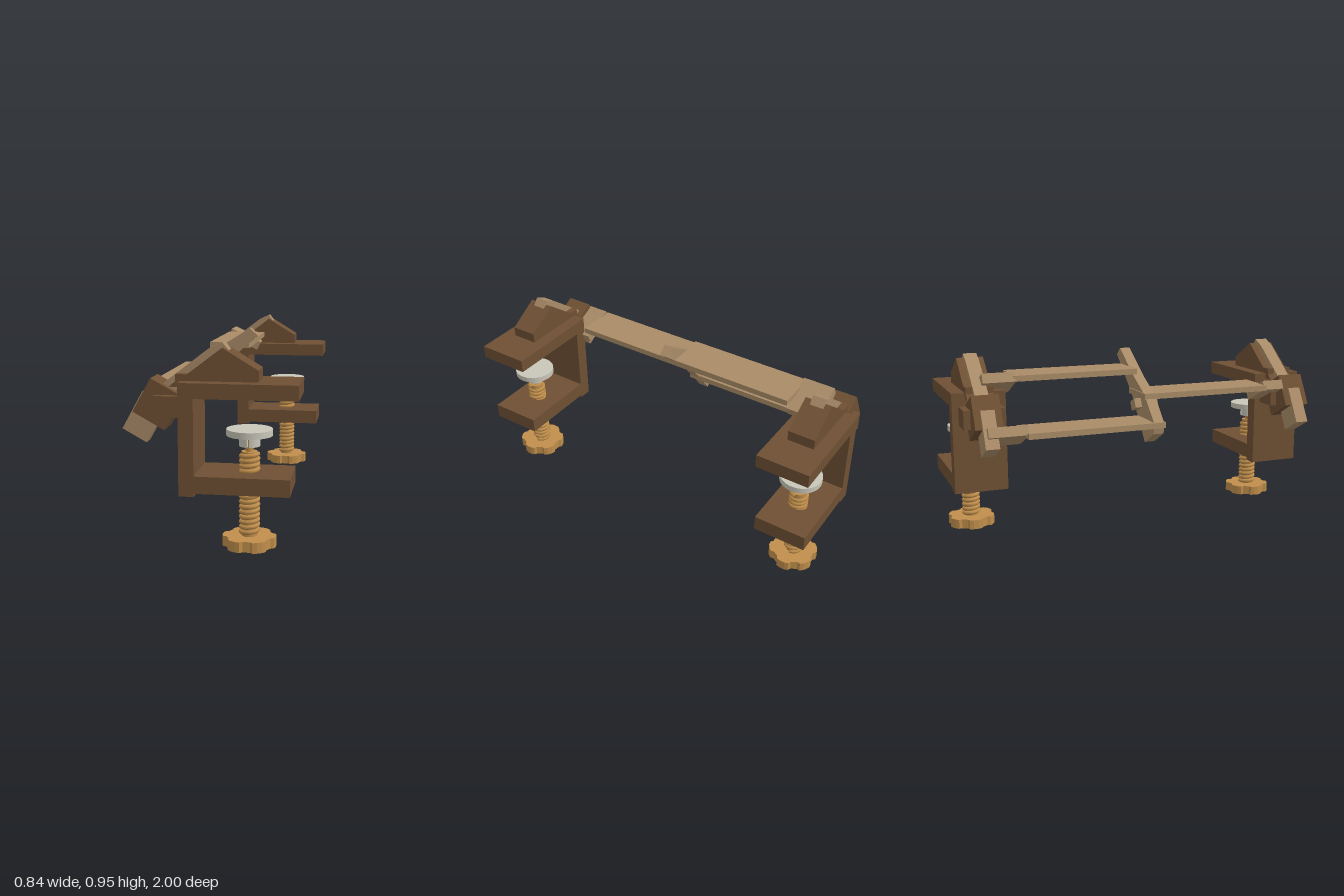
import * as THREE from 'three';

const mat = (name, color) => Object.assign(new THREE.MeshStandardMaterial({ color }), { name });

export function createModel() {
  const darkWood = mat('darkWood', 0x6f5034);
  const paleWood = mat('paleWood', 0xaa8c68);
  const brass = mat('brass', 0xc08e4b);
  const steel = mat('steel', 0xc9c7b9);
  const model = new THREE.Group();
  model.name = 'clampedPlanks';

  const add = (parent, name, geometry, material) => {
    const mesh = new THREE.Mesh(geometry, material);
    mesh.name = name;
    parent.add(mesh);
    return mesh;
  };

  // Side profile in x and y, extruded from z0 to z1
  const slab = (parent, name, points, z0, z1, material) => {
    const shape = new THREE.Shape(points.map(([x, y]) => new THREE.Vector2(x, y)));
    const geo = new THREE.ExtrudeGeometry(shape, { depth: z1 - z0, bevelEnabled: false });
    return add(parent, name, geo.translate(0, 0, z0), material);
  };

  // Box placed by its centre, turned about z
  const block = (parent, name, size, pos, angle, material) => {
    const mesh = add(parent, name, new THREE.BoxGeometry(...size), material);
    mesh.position.set(...pos);
    mesh.rotation.z = THREE.MathUtils.degToRad(angle);
    return mesh;
  };

  // Screw with lobed knob, helical thread and swivel pad
  function makeScrew() {
    const screw = new THREE.Group();
    screw.name = 'screw';

    const knob = new THREE.Shape();
    for (let k = 0; k < 6; k++) {
      for (const [deg, r] of [[-21, 0.11], [-16, 0.123], [-6, 0.126], [6, 0.126], [16, 0.123], [21, 0.11]]) {
        const a = THREE.MathUtils.degToRad(k * 60 + deg);
        const x = r * Math.cos(a), y = r * Math.sin(a);
        if (k === 0 && deg === -21) knob.moveTo(x, y);
        else knob.lineTo(x, y);
      }
    }
    const knobGeo = new THREE.ExtrudeGeometry(knob, { depth: 0.05, bevelEnabled: false });
    add(screw, 'knob', knobGeo.rotateX(-Math.PI / 2), brass);

    const core = new THREE.CylinderGeometry(0.037, 0.037, 0.4, 24);
    add(screw, 'shaft', core.translate(0, 0.25, 0), brass);
    const tip = new THREE.CylinderGeometry(0.018, 0.018, 0.06, 20);
    add(screw, 'shaftTip', tip.translate(0, 0.475, 0), brass);

    const turns = 16;
    const helix = [];
    for (let i = 0; i <= turns * 16; i++) {
      const a = i / 16 * Math.PI * 2;
      helix.push(new THREE.Vector3(0.04 * Math.cos(a), 0.055 + 0.385 * i / (turns * 16), -0.04 * Math.sin(a)));
    }
    const thread = new THREE.TubeGeometry(new THREE.CatmullRomCurve3(helix), turns * 24, 0.0105, 6);
    add(screw, 'thread', thread, brass);

    const pad = new THREE.CylinderGeometry(0.107, 0.107, 0.03, 40);
    add(screw, 'pad', pad.translate(0, 0.54, 0), steel);

    // Socket split into four prongs by narrow slots
    for (let k = 0; k < 4; k++) {
      const a0 = k * Math.PI / 2, a1 = a0 + Math.PI / 2;
      const prong = new THREE.Shape();
      prong.absarc(0, 0, 0.049, a0 + 0.1, a1 - 0.1, false);
      prong.absarc(0, 0, 0.026, a1 - 0.18, a0 + 0.18, true);
      const geo = new THREE.ExtrudeGeometry(prong, { depth: 0.052, bevelEnabled: false, curveSegments: 8 });
      add(screw, 'socketProng', geo.rotateX(-Math.PI / 2).translate(0, 0.475, 0), steel);
    }
    return screw;
  }

  // Clamps at each end, mirrored in z
  for (const s of [1, -1]) {
    const clamp = new THREE.Group();
    clamp.name = s > 0 ? 'frontClamp' : 'rearClamp';
    const zc = s * 0.862;

    slab(clamp, 'clampFrame', [
      [-0.12, 0.26], [-0.05, 0.26], [-0.05, 0.275], [0.385, 0.275], [0.385, 0.355], [-0.05, 0.355],
      [-0.05, 0.708], [0.42, 0.708], [0.42, 0.778], [-0.12, 0.778],
    ], zc - 0.138, zc + 0.138, darkWood);

    slab(clamp, 'ridgeBlock', [
      [-0.175, 0.75], [-0.12, 0.75], [-0.12, 0.778], [0.235, 0.778], [0.235, 0.83],
      [0.07, 0.93], [-0.09, 0.808], [-0.145, 0.808], [-0.145, 0.775],
    ], zc - 0.07, zc + 0.07, darkWood);

    block(clamp, 'sideBracket', [0.122, 0.097, 0.21], [-0.18, 0.663, zc], 0, darkWood);
    block(clamp, 'jointCube', [0.178, 0.17, 0.14], [-0.228, 0.668, zc], 61, darkWood);
    block(clamp, 'lowerTongue', [0.2, 0.13, 0.07], [-0.299, 0.601, zc], 61, paleWood);

    slab(clamp, 'upperTongue', [
      [-0.215, 0.755], [-0.16, 0.72], [0.095, 0.915], [0.065, 0.952], [0, 0.92],
    ], zc - 0.035, zc + 0.035, paleWood);

    const screw = makeScrew();
    screw.position.set(0.185, 0, zc);
    clamp.add(screw);
    model.add(clamp);
  }

  // Horizontal planks, each with a tilted tenon: x, y, inner z, outer z, tenon end z
  const planks = [
    ['frontPlank', -0.195, 0.728, -0.035, 0.69, 0.8],
    ['rearUpperPlank', -0.055, 0.841, -0.02, -0.69, -0.85],
    ['rearLowerPlank', -0.31, 0.596, 0.035, -0.69, -0.88],
  ];
  const tenonCentres = [[-0.2, 0.7], [-0.07, 0.81], [-0.298, 0.582]];
  planks.forEach(([name, x, y, zIn, zOut, zEnd], i) => {
    block(model, name, [0.22, 0.03, Math.abs(zOut - zIn)], [x, y, (zIn + zOut) / 2], 0, paleWood);
    const zStart = Math.sign(zOut) * 0.68;
    block(model, name + 'Tenon', [0.197, 0.052, Math.abs(zEnd - zStart)],
      [...tenonCentres[i], (zEnd + zStart) / 2], -25, paleWood);
  });

  // Diagonal link joining the three planks at the middle
  slab(model, 'middleLink', [
    [-0.405, 0.55], [-0.29, 0.485], [-0.2, 0.6], [-0.11, 0.71], [0.11, 0.9],
    [0.065, 0.94], [-0.14, 0.81], [-0.285, 0.735], [-0.415, 0.605],
  ], -0.028, 0.028, paleWood);
  block(model, 'linkPin', [0.06, 0.05, 0.13], [-0.215, 0.675, 0], -25, paleWood);

  return model;
}
